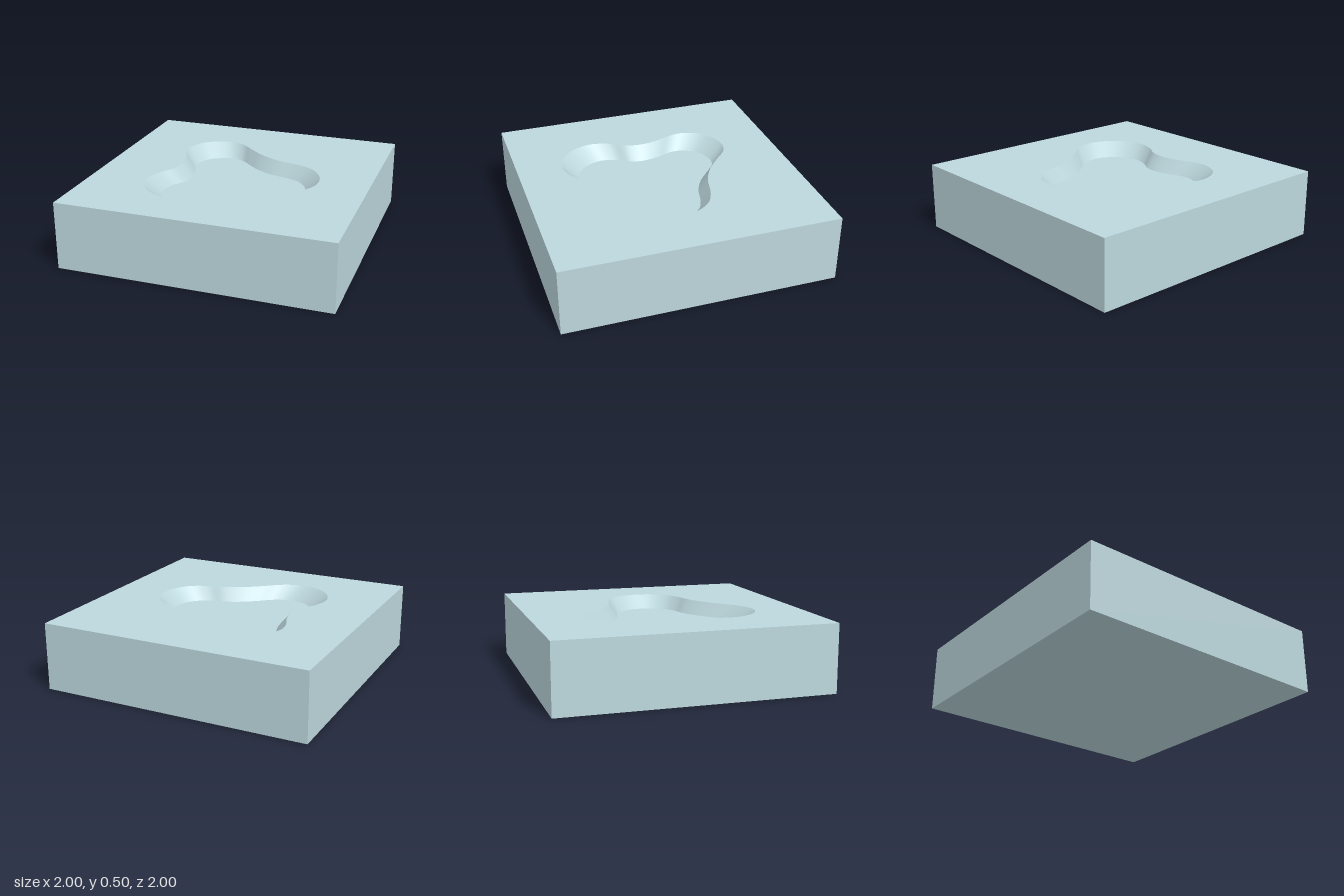
import * as THREE from 'three';

const HEIGHT = 0.5, DEPTH = 0.1, TAPER = 0.825, CENTRE = 0.02, STEPS = 120;

// Pocket rim as [x, z], running clockwise seen from above
const RIM = [
  [-0.29, -0.615], [-0.17, -0.59], [-0.065, -0.50], [0.06, -0.395], [0.21, -0.315], [0.395, -0.267],
  [0.51, -0.21], [0.595, -0.10], [0.625, 0.03], [0.60, 0.15], [0.52, 0.257], [0.405, 0.315],
  [0.28, 0.345], [0.13, 0.415], [0, 0.51], [-0.12, 0.61], [-0.28, 0.663], [-0.42, 0.625],
  [-0.53, 0.525], [-0.583, 0.375], [-0.55, 0.23], [-0.48, 0.11], [-0.458, -0.01], [-0.485, -0.155],
  [-0.535, -0.29], [-0.54, -0.395], [-0.47, -0.535],
];

export function createModel() {
  const group = new THREE.Group();
  const material = new THREE.MeshStandardMaterial({ color: 0xbcd7dc });
  const add = (name, geometry) => {
    const mesh = new THREE.Mesh(geometry, material);
    mesh.name = name;
    group.add(mesh);
  };

  // Smooth closed outlines of rim and floor, as (x, -z)
  const curve = new THREE.CatmullRomCurve3(RIM.map(([x, z]) => new THREE.Vector3(x, -z, 0)), true);
  const rim = curve.getPoints(STEPS).slice(0, STEPS).map((p) => new THREE.Vector2(p.x, p.y));
  const middle = new THREE.Vector2(CENTRE, -CENTRE);
  const floor = rim.map((p) => p.clone().sub(middle).multiplyScalar(TAPER).add(middle));
  const flat = (shape, y) => new THREE.ShapeGeometry(shape).rotateX(-Math.PI / 2).translate(0, y, 0);

  // Block sides and underside: a box with its top face removed
  const box = new THREE.BoxGeometry(2, HEIGHT, 2).translate(0, HEIGHT / 2, 0);
  const top = box.groups[2];
  box.setIndex(Array.from(box.index.array).filter((_, i) => i < top.start || i >= top.start + top.count));
  box.clearGroups();
  add('blockSides', box);

  // Top face with the pocket opening
  const square = new THREE.Shape([[-1, -1], [1, -1], [1, 1], [-1, 1]].map(([x, y]) => new THREE.Vector2(x, y)));
  square.holes.push(new THREE.Path(rim));
  add('topFace', flat(square, HEIGHT));

  // Pocket floor
  add('pocketFloor', flat(new THREE.Shape(floor), HEIGHT - DEPTH));

  // Sloping pocket wall between rim and floor
  const positions = [], indices = [];
  for (let i = 0; i < STEPS; i++) {
    positions.push(rim[i].x, HEIGHT, -rim[i].y, floor[i].x, HEIGHT - DEPTH, -floor[i].y);
    const a = 2 * i, b = 2 * ((i + 1) % STEPS);
    indices.push(a, a + 1, b, b, a + 1, b + 1);
  }
  const wall = new THREE.BufferGeometry();
  wall.setAttribute('position', new THREE.Float32BufferAttribute(positions, 3));
  wall.setIndex(indices);
  wall.computeVertexNormals();
  add('pocketWall', wall);

  return group;
}
